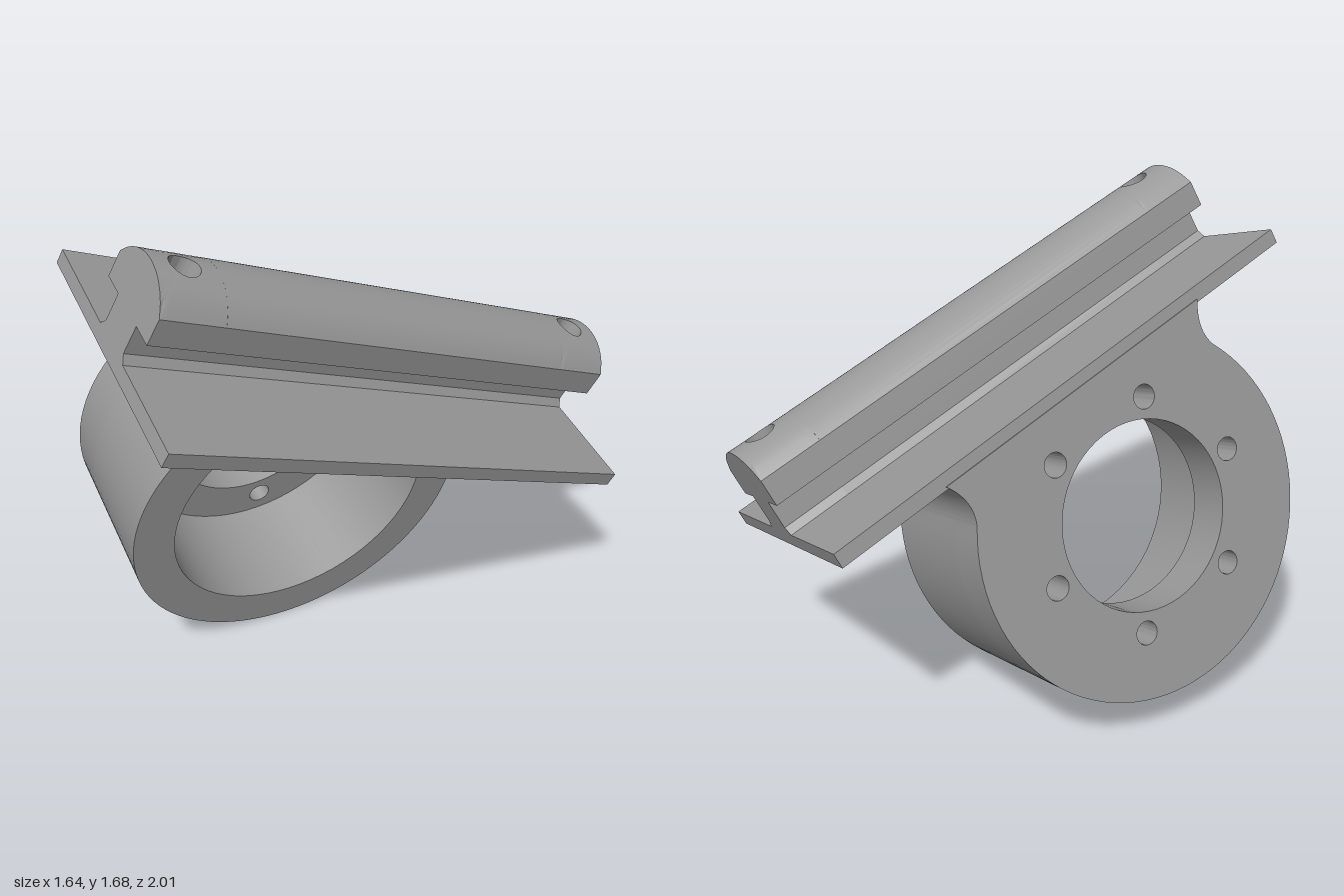
import * as THREE from 'three';
import { toCreasedNormals } from 'three/addons/utils/BufferGeometryUtils.js';

const HALF_LEN = 0.914, HALF_WID = 0.456, PLATE = 0.025;
const HEAD = 0.158, HEAD_LOW = 0.146, STEM = 0.075, HOLE_R = 0.05, HOLE_Z = 0.806;
const RING_Y = -0.504, RING_R = 0.608, BORE_R = 0.465;

const dome = (x) => 0.13 + Math.sqrt(0.19 * 0.19 - x * x);

function circle(x, y, r) {
  return new THREE.Path().absarc(x, y, r, 0, Math.PI * 2, true);
}

function extrude(shape, depth) {
  return new THREE.ExtrudeGeometry(shape, { depth, bevelEnabled: false, curveSegments: 32 });
}

// Round ring outline running up into a neck that flares under the plate
function ringShape(holes) {
  const a = Math.asin(0.33 / RING_R);
  const nx = RING_R * Math.cos(a), top = -0.015;
  const s = new THREE.Shape();
  s.absarc(0, RING_Y, RING_R, Math.PI - a, Math.PI * 2 + a, false);
  s.quadraticCurveTo(nx - 0.035, -0.1, nx + 0.02, top);
  s.lineTo(-nx - 0.02, top);
  s.quadraticCurveTo(-nx + 0.035, -0.1, -nx, RING_Y + 0.33);
  s.holes.push(...holes);
  return s;
}

// Mushroom cross-section of the rail
function railShape() {
  const s = new THREE.Shape();
  s.moveTo(-STEM - 0.03, 0.015);
  s.lineTo(STEM + 0.03, 0.015);
  s.lineTo(STEM, 0.05);
  s.lineTo(STEM, HEAD_LOW);
  s.lineTo(HEAD, HEAD_LOW);
  for (let i = 0; i <= 24; i++) {
    const x = HEAD * (1 - i / 12);
    s.lineTo(x, dome(x));
  }
  s.lineTo(-HEAD, HEAD_LOW);
  s.lineTo(-STEM, HEAD_LOW);
  s.lineTo(-STEM, 0.05);
  return s;
}

// Rail end block around a vertical bolt hole, made of loops from the hole outwards
function railEnd(halfZ) {
  const N = 64, pos = [], idx = [];
  const loops = [];
  const add = (f) => {
    for (let i = 0; i < N; i++) {
      const a = (i / N) * Math.PI * 2, c = Math.cos(a), s = Math.sin(a);
      const m = Math.max(Math.abs(c), Math.abs(s));
      pos.push(...f(HOLE_R * c, HOLE_R * s, HEAD * c / m, halfZ * s / m));
    }
    loops.push(0);
  };
  add((hx, hz) => [hx, -PLATE, hz]);
  for (let k = 0; k <= 5; k++) {
    add((hx, hz, ox, oz) => {
      const t = k / 5, x = hx + (ox - hx) * t;
      return [x, dome(x), hz + (oz - hz) * t];
    });
  }
  const sides = [[HEAD, HEAD_LOW], [STEM, HEAD_LOW], [STEM, 0.05], [STEM + 0.03, 0.015]];
  for (const [w, y] of sides) add((hx, hz, ox, oz) => [ox * w / HEAD, y, oz]);
  for (let j = 0; j < loops.length - 1; j++) {
    for (let i = 0; i < N; i++) {
      const a = j * N + i, b = j * N + (i + 1) % N;
      idx.push(a, b, a + N, b, b + N, a + N);
    }
  }
  const g = new THREE.BufferGeometry();
  g.setAttribute('position', new THREE.Float32BufferAttribute(pos, 3));
  g.setIndex(idx);
  g.computeVertexNormals();
  return g;
}

export function createModel() {
  const model = new THREE.Group();
  model.name = 'railMount';
  const grey = new THREE.MeshStandardMaterial({ color: 0x999999 });
  grey.name = 'grey';

  const add = (geometry, name) => {
    const mesh = new THREE.Mesh(toCreasedNormals(geometry, 0.6), grey);
    mesh.name = name;
    body.add(mesh);
    return mesh;
  };

  // Tilted frame: x across the plate, y out of it, z along the rail
  const body = new THREE.Group();
  body.name = 'tiltedBody';
  const z = new THREE.Vector3(-0.356, 0.36, 0.864).normalize();
  const x = new THREE.Vector3(0.845, -0.28, 0.46);
  x.addScaledVector(z, -x.dot(z)).normalize();
  const y = new THREE.Vector3().crossVectors(z, x);
  body.quaternion.setFromRotationMatrix(new THREE.Matrix4().makeBasis(x, y, z));
  body.position.set(0.1, 1.06, 0);
  model.add(body);

  // Plate with two bolt holes
  const plate = new THREE.Shape();
  plate.moveTo(-HALF_WID, -HALF_LEN);
  plate.lineTo(HALF_WID, -HALF_LEN);
  plate.lineTo(HALF_WID, HALF_LEN);
  plate.lineTo(-HALF_WID, HALF_LEN);
  plate.holes.push(circle(0, HOLE_Z, HOLE_R), circle(0, -HOLE_Z, HOLE_R));
  add(extrude(plate, PLATE * 2).rotateX(-Math.PI / 2).translate(0, -PLATE, 0), 'plate');

  // Rail: plain middle and a drilled block at each end
  const halfZ = HALF_LEN - HOLE_Z, mid = HOLE_Z - halfZ;
  add(extrude(railShape(), mid * 2).translate(0, 0, -mid), 'railMiddle');
  for (const s of [-1, 1]) {
    add(railEnd(halfZ), s < 0 ? 'railBackEnd' : 'railFrontEnd').position.z = s * HOLE_Z;
  }

  // Ring: open sleeve, then a thicker flange with six bolt holes
  const back = -0.46, flange = 0.155, front = 0.1;
  const sleeve = extrude(ringShape([circle(0, RING_Y, BORE_R)]), front - back - flange);
  add(sleeve.rotateY(Math.PI / 2).translate(back + flange, 0, 0), 'ringSleeve');
  const holes = [circle(0, RING_Y, 0.313)];
  for (let i = 0; i < 6; i++) {
    const a = (i * Math.PI) / 3;
    holes.push(circle(0.384 * Math.cos(a), RING_Y + 0.384 * Math.sin(a), 0.04));
  }
  add(extrude(ringShape(holes), flange).rotateY(Math.PI / 2).translate(back, 0, 0), 'ringFlange');

  return model;
}
